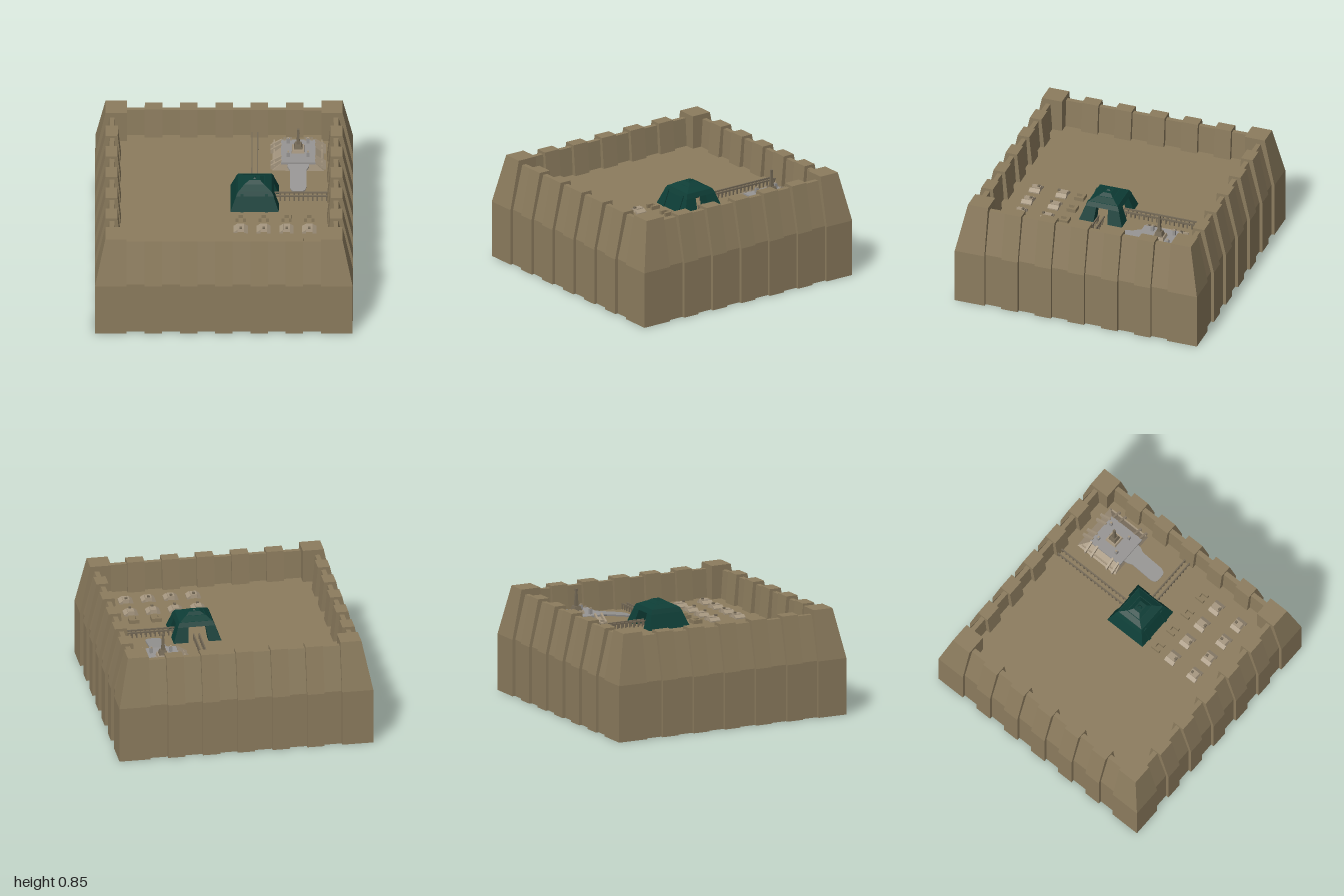
import * as THREE from 'three';
import { ConvexGeometry } from 'three/addons/geometries/ConvexGeometry.js';

const FLOOR = 0.575;

function material(name, color) {
  const m = new THREE.MeshStandardMaterial({ color, flatShading: true, side: THREE.DoubleSide });
  m.name = name;
  return m;
}

export function createModel() {
  const sand = material('sandstone', 0x8c7c5e);
  const teal = material('dark teal', 0x0d3d36);
  const grey = material('concrete grey', 0x979593);
  const tan = material('pale tan', 0xa69780);
  const bronze = material('dull bronze', 0x756a57);

  const root = new THREE.Group();
  root.name = 'fortress';
  const group = (name, parent = root) => {
    const g = new THREE.Group();
    g.name = name;
    parent.add(g);
    return g;
  };
  const add = (parent, name, geo, mat) => {
    const m = new THREE.Mesh(geo, mat);
    m.name = name;
    parent.add(m);
    return m;
  };
  // box from its low and high corners
  const box = (parent, name, mat, x0, x1, y0, y1, z0, z1) => {
    const m = add(parent, name, new THREE.BoxGeometry(x1 - x0, y1 - y0, z1 - z0), mat);
    m.position.set((x0 + x1) / 2, (y0 + y1) / 2, (z0 + z1) / 2);
    return m;
  };
  const hull = (parent, name, mat, pts) =>
    add(parent, name, new ConvexGeometry(pts.map(p => new THREE.Vector3(...p))), mat);
  // rectangle [x0, x1, z0, z1] at a height, used in pairs for tapered blocks
  const rect = ([x0, x1, z0, z1], y) => [[x0, y, z0], [x1, y, z0], [x1, y, z1], [x0, y, z1]];
  const taper = (parent, name, mat, low, y0, high, y1) =>
    hull(parent, name, mat, [...rect(low, y0), ...rect(high, y1)]);

  // ---- Walls: one side lofted along u from wall, buttress and tower profiles [depth, y]
  const wallP = [[0.975, 0], [0.975, 0.45], [0.887, 0.8], [0.85, 0.8], [0.835, FLOOR]];
  const buttP = [[1, 0], [1, 0.45], [0.92, 0.822], [0.825, 0.822], [0.8, FLOOR]];
  const towerP = [[1, 0], [1, 0.45], [0.92, 0.842], [0.755, 0.842], [0.755, FLOOR]];
  const at = (p, u) => p.map(([d, y]) => [u, y, d]);
  const mitre = s => towerP.map(([d, y]) => [s * d, y, d]);
  const sections = [mitre(-1), at(towerP, -0.755), at(wallP, -0.755)];
  for (let i = -2; i <= 2; i++) {
    const a = i * 0.274 - 0.068, b = i * 0.274 + 0.068;
    sections.push(at(wallP, a), at(buttP, a), at(buttP, b), at(wallP, b));
  }
  sections.push(at(wallP, 0.755), at(towerP, 0.755), mitre(1));
  const pos = [];
  for (let s = 0; s < sections.length - 1; s++) {
    const p = sections[s], q = sections[s + 1];
    for (let k = 0; k < 4; k++) {
      pos.push(...p[k], ...q[k], ...q[k + 1], ...p[k], ...q[k + 1], ...p[k + 1]);
    }
  }
  const wallGeo = new THREE.BufferGeometry();
  wallGeo.setAttribute('position', new THREE.Float32BufferAttribute(pos, 3));
  wallGeo.computeVertexNormals();
  const walls = group('walls');
  ['front', 'left', 'back', 'right'].forEach((n, i) => {
    add(walls, n + 'Wall', wallGeo, sand).rotation.y = i * Math.PI / 2;
  });
  box(root, 'courtyardFloor', sand, -0.835, 0.835, FLOOR - 0.01, FLOOR, -0.835, 0.835);

  // ---- Teal pavilion: stepped roof, solid front and left skirts, openings back and right
  const hall = group('pavilion');
  const [x0, x1, z0, z1] = [0.05, 0.425, -0.17, 0.185];
  const [a0, a1, b0, b1] = [0.1, 0.38, -0.125, 0.135];
  const eave = 0.705;
  taper(hall, 'roofSlab', teal, [a0 - 0.008, a1 + 0.008, b0 - 0.008, b1 + 0.008], 0.69, [a0 + 0.01, a1 - 0.01, b0 + 0.01, b1 - 0.01], 0.725);
  taper(hall, 'roofSlope', teal, [0.115, 0.365, -0.11, 0.12], 0.725, [0.155, 0.315, -0.06, 0.07], 0.752);
  taper(hall, 'roofCap', teal, [0.16, 0.31, -0.055, 0.065], 0.752, [0.195, 0.28, -0.025, 0.035], 0.772);
  taper(hall, 'roofPeak', teal, [0.225, 0.25, -0.015, 0.025], 0.77, [0.232, 0.243, -0.005, 0.015], 0.782);
  // sloped skirt piece between a foot rectangle and an eave rectangle
  const skirt = (name, foot, top) => taper(hall, name, teal, foot, FLOOR, top, eave);
  skirt('leftSkirt', [x0, x0 + 0.05, z0, z1], [a0, a0 + 0.04, b0, b1]);
  skirt('frontSkirt', [x0, x1, z1 - 0.05, z1], [a0, a1, b1 - 0.04, b1]);
  skirt('backRightLeg', [0.31, x1, z0, -0.05], [0.3, a1, b0, -0.04]);
  skirt('backLeftLeg', [x0, 0.15, z0, -0.1], [a0, 0.17, b0, -0.08]);
  skirt('frontRightLeg', [0.33, x1, 0.065, z1], [0.32, a1, 0.055, b1]);
  for (const x of [0.14, 0.33]) {
    taper(hall, 'frontRib', teal, [x - 0.012, x + 0.012, 0.15, 0.193], FLOOR, [x - 0.012, x + 0.012, 0.1, 0.143], eave);
  }

  // ---- Rail tracks running from the pavilion to the back and left walls
  const track = (name, length) => {
    const g = group(name);
    for (const s of [-0.022, 0.022]) {
      box(g, 'rail', bronze, s - 0.005, s + 0.005, 0.612, 0.624, 0, length);
      for (let z = 0.01; z < length; z += 0.036) {
        box(g, 'railPost', bronze, s - 0.004, s + 0.004, FLOOR, 0.612, z, z + 0.01);
      }
    }
    return g;
  };
  track('backTrack', 0.7).position.set(0.238, 0, -0.81);
  const side = track('sideTrack', 0.42);
  side.rotation.y = Math.PI / 2;
  side.position.set(0.385, 0, 0.012);

  // ---- Landing station with ribs, posts, spire and ramp
  const station = group('station');
  const cx = 0.575, cz = -0.53;
  taper(station, 'stationBase', tan, [0.375, 0.775, -0.74, -0.36], FLOOR, [0.44, 0.71, -0.67, -0.37], 0.635);
  box(station, 'stationDeck', grey, 0.44, 0.71, 0.63, 0.65, -0.67, -0.365);
  for (const s of [-1, 1]) {
    for (const z of [-0.655, -0.595, -0.44, -0.385]) {
      hull(station, 'sideRib', tan, [-0.008, 0.008].flatMap(d => [
        [cx + s * 0.215, FLOOR, z + d], [cx + s * 0.215, 0.61, z + d],
        [cx + s * 0.13, 0.665, z + d], [cx + s * 0.13, FLOOR, z + d]]));
    }
    box(station, 'sideRail', tan, cx + s * 0.185 - 0.005, cx + s * 0.185 + 0.005, 0.605, 0.62, -0.71, -0.37);
    for (const o of [0.055, 0.105]) {
      hull(station, 'backRib', tan, [-0.008, 0.008].flatMap(d => [
        [cx + s * o + d, FLOOR, -0.76], [cx + s * o + d, 0.61, -0.76],
        [cx + s * o + d, 0.665, -0.66], [cx + s * o + d, FLOOR, -0.66]]));
    }
    for (const z of [-0.63, -0.45]) {
      const x = cx + s * 0.077;
      box(station, 'deckPost', grey, x - 0.012, x + 0.012, 0.65, 0.69, z - 0.011, z + 0.011);
      box(station, 'postCap', tan, x - 0.007, x + 0.007, 0.69, 0.7, z - 0.007, z + 0.007);
    }
  }
  const sq = r => [cx - r, cx + r, cz - 0.005 - r, cz - 0.005 + r];
  taper(station, 'spireBase', tan, sq(0.05), 0.65, sq(0.044), 0.675);
  taper(station, 'spireTier', bronze, sq(0.034), 0.675, sq(0.024), 0.71);
  taper(station, 'spireMast', bronze, sq(0.014), 0.71, sq(0.007), 0.83);
  taper(station, 'spireTip', bronze, sq(0.009), 0.825, sq(0.009), 0.845);

  // ramp outline drawn in plan, then tilted down toward the front
  const plan = new THREE.Shape();
  plan.moveTo(-0.085, 0);
  plan.lineTo(0.085, 0);
  plan.lineTo(0.082, 0.03);
  plan.lineTo(0.064, 0.07);
  plan.lineTo(0.064, 0.25);
  plan.quadraticCurveTo(0.06, 0.297, 0.025, 0.3);
  plan.lineTo(-0.025, 0.3);
  plan.quadraticCurveTo(-0.06, 0.297, -0.064, 0.25);
  plan.lineTo(-0.064, 0.07);
  plan.lineTo(-0.082, 0.03);
  const rampGeo = new THREE.ExtrudeGeometry(plan, { depth: 0.012, bevelEnabled: false, curveSegments: 5 });
  const ramp = add(station, 'ramp', rampGeo, grey);
  ramp.rotation.x = Math.PI / 2 + 0.16;
  ramp.position.set(cx, 0.638, -0.366);

  // ---- Parked vehicles in two rows, and a row of U-shaped bays
  const vehicle = (x, z, turretZ) => {
    const g = group('vehicle');
    g.position.set(x, FLOOR, z);
    for (const s of [-1, 1]) {
      hull(g, 'track', tan, [-0.043, 0.043].flatMap(d => [
        [s * 0.055, 0, d], [s * 0.055, 0.01, d], [s * 0.026, 0.03, d], [s * 0.026, 0, d]]));
    }
    hull(g, 'hullBody', tan, [...rect([-0.027, 0.027, -0.042, 0.036], 0.005), ...rect([-0.025, 0.025, -0.038, 0.028], 0.036)]);
    box(g, 'turret', bronze, -0.01, 0.01, 0.036, 0.048, turretZ - 0.009, turretZ + 0.009);
  };
  for (const x of [0.13, 0.308, 0.486, 0.662]) {
    vehicle(x, 0.425, 0.03);
    vehicle(x, 0.645, -0.022);
    const bay = group('bay');
    bay.position.set(x, FLOOR, 0.28);
    for (const s of [-1, 1]) box(bay, 'bayArm', sand, s * 0.029 - 0.011, s * 0.029 + 0.011, 0, 0.03, -0.04, 0.036);
    box(bay, 'bayBack', sand, -0.018, 0.018, 0, 0.03, -0.04, -0.015);
  }
  return root;
}
